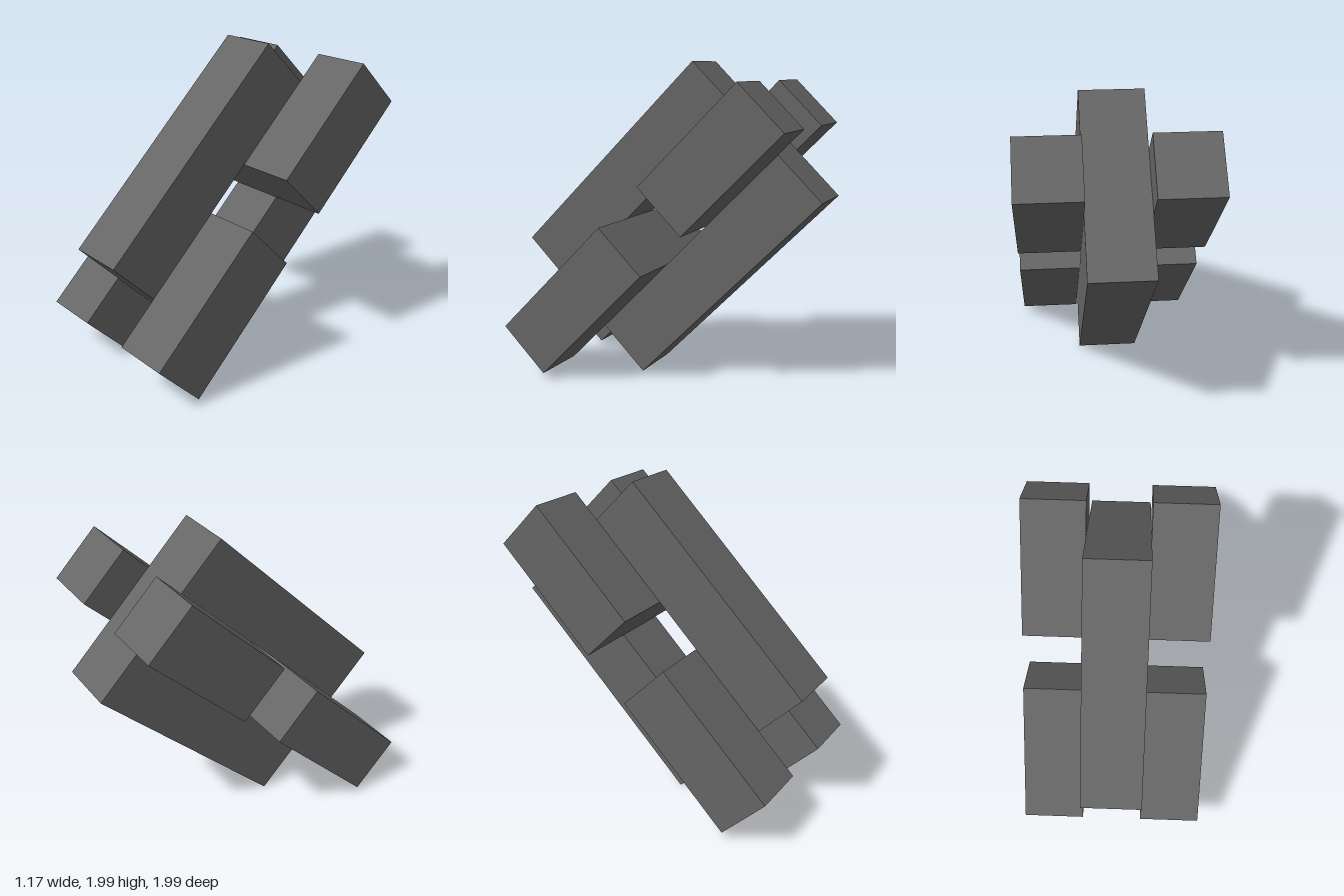
import * as THREE from 'three';

const BAR = 0.39; // width of every bar

function rectPoints(z0, z1, y0, y1) {
  return [[z0, y0], [z1, y0], [z1, y1], [z0, y1]].map(([z, y]) => new THREE.Vector2(z, y));
}

export function createModel() {
  const grey = new THREE.MeshStandardMaterial({ color: 0x666666 });
  grey.name = 'darkGrey';
  const model = new THREE.Group();
  model.name = 'interlockedBars';

  // Everything is laid out upright, then leaned back by 45 degrees
  const tilted = new THREE.Group();
  tilted.name = 'tiltedAssembly';
  tilted.rotation.x = -Math.PI / 4;
  model.add(tilted);

  // Central frame: thick slab with a square window through its middle
  const outline = new THREE.Shape(rectPoints(0.127, 1.294, -0.12, 1.534));
  outline.holes.push(new THREE.Path(rectPoints(0.516, 0.909, 0.513, 0.881).reverse()));
  const frameGeometry = new THREE.ExtrudeGeometry(outline, { depth: BAR, bevelEnabled: false });
  frameGeometry.translate(0, 0, -BAR / 2);
  frameGeometry.rotateY(-Math.PI / 2);
  const frame = new THREE.Mesh(frameGeometry, grey);
  frame.name = 'centralFrame';
  tilted.add(frame);

  // Four side bars along the middle layer, above and below the window
  const spans = [['lower', -0.46, 0.513], ['upper', 0.881, 1.754]];
  for (const [side, sign] of [['Left', 1], ['Right', -1]]) {
    for (const [level, y0, y1] of spans) {
      const bar = new THREE.Mesh(new THREE.BoxGeometry(BAR, y1 - y0, 0.393), grey);
      bar.name = `${level}${side}Bar`;
      bar.position.set(sign * BAR, (y0 + y1) / 2, 0.7125);
      tilted.add(bar);
    }
  }
  return model;
}
